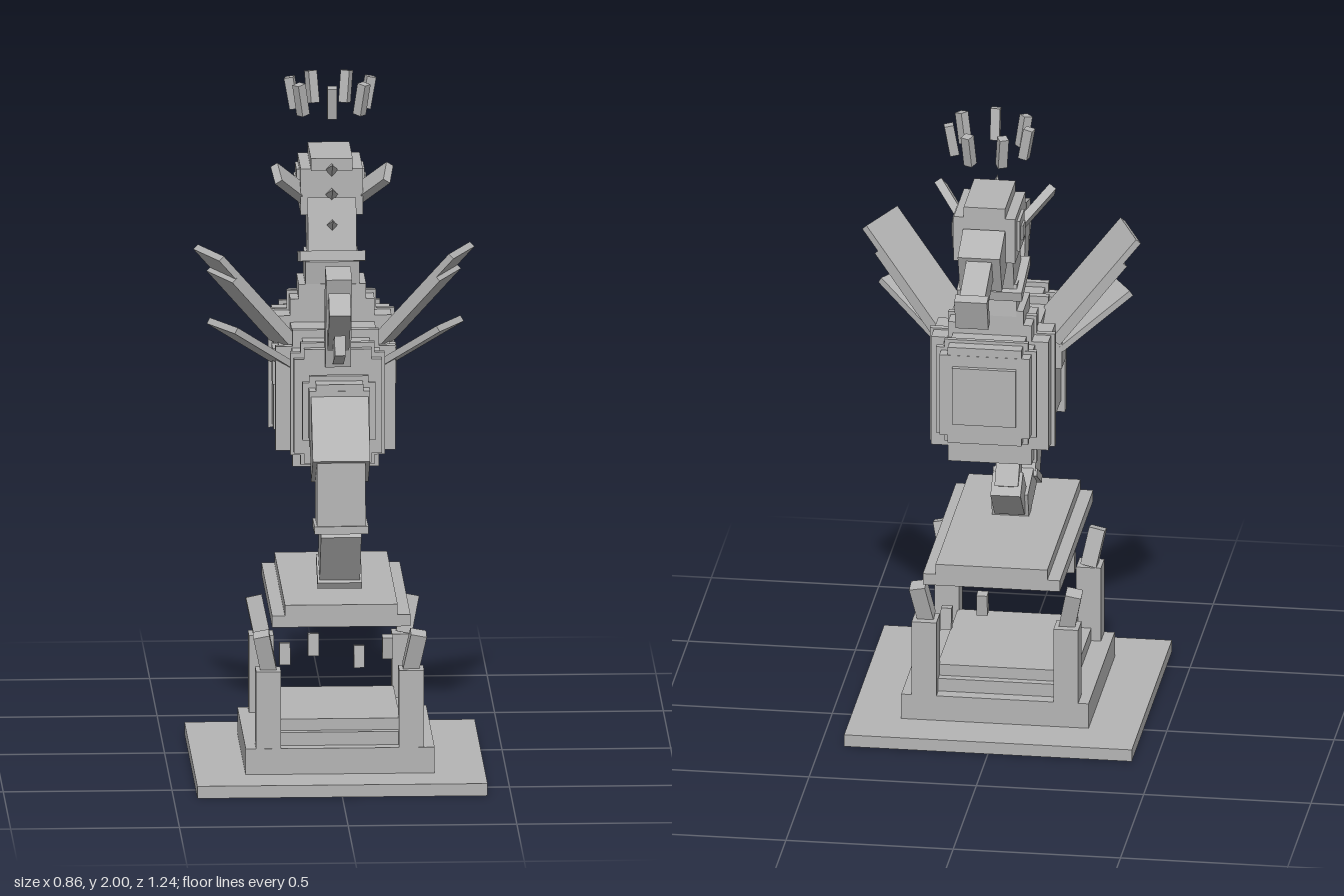
import * as THREE from 'three';

export function createModel() {
  const model = new THREE.Group();
  const stone = new THREE.MeshStandardMaterial({ color: 0xb4b4b4 });
  stone.name = 'grey stone';

  const add = (name, geometry) => {
    const mesh = new THREE.Mesh(geometry, stone);
    mesh.name = name;
    model.add(mesh);
    return mesh;
  };
  // Box given by its half width in x and its y and z limits
  const block = (name, hx, y0, y1, z0, z1, x = 0) => {
    const m = add(name, new THREE.BoxGeometry(hx * 2, y1 - y0, z1 - z0));
    m.position.set(x, (y0 + y1) / 2, (z0 + z1) / 2);
    return m;
  };
  // Box running between two [z, y] points in the middle plane
  const beam = (name, [z0, y0], [z1, y1], hx, thick) => {
    const m = add(name, new THREE.BoxGeometry(hx * 2, thick, Math.hypot(z1 - z0, y1 - y0)));
    m.position.set(0, (y0 + y1) / 2, (z0 + z1) / 2);
    m.rotation.x = -Math.atan2(y1 - y0, z1 - z0);
    return m;
  };
  // Flat plate from a root corner, along a span and an edge vector
  const plate = (name, root, span, edge, thick, lift = 0) => {
    const s = new THREE.Vector3(...span), e = new THREE.Vector3(...edge);
    const n = new THREE.Vector3().crossVectors(e, s).normalize();
    const m = add(name, new THREE.BoxGeometry(s.length(), thick, e.length()));
    m.position.set(...root).addScaledVector(s, 0.5).addScaledVector(e, 0.5).addScaledVector(n, lift);
    const u = s.clone().normalize();
    m.quaternion.setFromRotationMatrix(
      new THREE.Matrix4().makeBasis(u, n, new THREE.Vector3().crossVectors(u, n)));
    return m;
  };

  // Pedestal
  block('baseSlab', 0.43, 0, 0.037, -0.25, 0.615);
  block('baseStep', 0.28, 0.037, 0.115, -0.1, 0.465);
  block('baseRiser', 0.22, 0.115, 0.155, -0.06, 0.425);
  block('basePanel', 0.18, 0.155, 0.19, -0.035, 0.4);
  for (const sx of [-1, 1]) for (const sz of [-1, 1]) {
    const z = 0.182 + sz * 0.245;
    block('cornerPost', 0.037, 0.115, 0.348, z - 0.037, z + 0.037, sx * 0.212);
    const tip = block('brokenPostTip', 0.024, 0.345, 0.46, z - 0.024, z + 0.024, sx * 0.222);
    tip.rotation.set(sz * 0.22, 0, -sx * 0.2);
  }
  const chips = [[-0.16, 0.38, 0.36], [-0.07, 0.38, 0.24], [0.07, 0.32, 0.14], [0.16, 0.32, 0.015]];
  chips.forEach(([x, y, z], i) => {
    const chip = block('floatingChip', 0.016, y - 0.033, y + 0.033, z - 0.016, z + 0.016, x);
    chip.rotation.x = i < 2 ? -0.12 : 0.12 * (i === 2 ? -1 : 1);
  });
  block('platformLower', 0.205, 0.5, 0.535, -0.175, 0.54);
  block('platformUpper', 0.167, 0.535, 0.567, -0.175, 0.54);

  // Curled tail with joint rings
  const tail = [
    [[0.37, 1.13], [0.49, 0.96], 0.085, 0.155],
    [[0.475, 1.01], [0.485, 0.79], 0.072, 0.135],
    [[0.485, 0.8], [0.38, 0.635], 0.06, 0.115],
    [[0.39, 0.645], [0.225, 0.6], 0.055, 0.09],
    [[0.245, 0.605], [0.155, 0.7], 0.045, 0.08],
    [[0.17, 0.68], [0.235, 0.785], 0.035, 0.062],
  ];
  tail.forEach(([a, b, hx, t]) => beam('tailSegment', a, b, hx, t));
  beam('tailRing', [0.484, 0.805], [0.485, 0.782], 0.08, 0.15);
  beam('tailRing', [0.395, 0.645], [0.383, 0.625], 0.066, 0.125);

  // Body: each section is a wide box crossed with a taller, narrower one
  const section = (name, hx, y0, y1, z0, z1, step = 0.04) => {
    block(name, hx, y0 + step, y1 - step, z0, z1);
    block(name + 'Core', hx - step, y0, y1, z0 + 0.001, z1 - 0.001);
  };
  section('tailRoot', 0.09, 1.02, 1.21, 0.29, 0.43, 0.02);
  section('tailRootRing', 0.108, 1.01, 1.225, 0.36, 0.38, 0.02);
  section('rearBody', 0.13, 0.945, 1.29, 0.14, 0.31, 0.03);
  section('rearRing', 0.14, 0.935, 1.305, 0.262, 0.285, 0.03);
  section('midBody', 0.165, 0.945, 1.29, -0.07, 0.155);
  section('midRing', 0.178, 0.9, 1.315, 0.13, 0.155, 0.05);
  block('belly', 0.1, 0.915, 0.96, -0.06, 0.13);
  section('shoulders', 0.175, 0.915, 1.36, -0.21, -0.06, 0.05);
  section('shoulderRing', 0.187, 0.9, 1.37, -0.155, -0.135, 0.055);
  section('chest', 0.135, 1.02, 1.325, -0.325, -0.2, 0.025);
  section('chestRing', 0.15, 1.01, 1.335, -0.287, -0.27, 0.025);
  block('breastPlate', 0.095, 1.085, 1.265, -0.34, -0.32);

  // Neck
  block('neckBase', 0.1, 1.35, 1.405, -0.21, -0.06);
  beam('lowerNeck', [-0.14, 1.38], [-0.13, 1.48], 0.08, 0.145);
  beam('neckRing', [-0.123, 1.46], [-0.13, 1.49], 0.097, 0.19);
  beam('upperNeck', [-0.128, 1.48], [-0.17, 1.64], 0.072, 0.15);

  // Head and snout
  block('head', 0.092, 1.605, 1.745, -0.325, -0.105);
  block('headTop', 0.062, 1.74, 1.777, -0.325, -0.1);
  beam('snoutRoot', [-0.31, 1.65], [-0.425, 1.605], 0.063, 0.13);
  beam('snout', [-0.4, 1.63], [-0.582, 1.56], 0.038, 0.075);
  beam('snoutTip', [-0.577, 1.558], [-0.61, 1.548], 0.049, 0.1);
  for (const s of [-1, 1]) {
    block('eyeFrame', 0.005, 1.63, 1.725, -0.29, -0.19, s * 0.096);
    block('eye', 0.004, 1.655, 1.7, -0.263, -0.217, s * 0.103);
    plate('earFin', [s * 0.075, 1.635, -0.13], [s * 0.085, 0.085, 0.09],
      [s * 0.012, 0.042, -0.05], 0.025);
  }

  // Spikes down the back of the head and neck
  for (const [y, z] of [[1.755, -0.1], [1.68, -0.1], [1.59, -0.08]]) {
    const spike = add('backSpike', new THREE.ConeGeometry(0.02, 0.075, 4).toNonIndexed());
    spike.geometry.computeVertexNormals();
    spike.position.set(0, y, z + 0.025);
    spike.rotation.x = Math.PI / 2 - 0.4;
  }

  // Fan of fins on the back
  beam('backFin', [0.19, 1.25], [0.2, 1.5], 0.027, 0.085);
  beam('backFin', [0.28, 1.25], [0.35, 1.53], 0.038, 0.09);
  beam('backFin', [0.25, 1.26], [0.44, 1.455], 0.032, 0.08);
  beam('backFin', [0.26, 1.255], [0.46, 1.335], 0.016, 0.06);

  // Wings: a long layered fin above a short one, mirrored
  for (const s of [-1, 1]) {
    block('wingHub', 0.012, 1.135, 1.245, 0.015, 0.09, s * 0.172);
    plate('upperWing', [s * 0.17, 1.255, -0.06], [s * 0.24, 0.29, 0.1],
      [s * -0.07, 0, 0.165], 0.02);
    plate('upperWingLayer', [s * 0.17, 1.255, -0.06], [s * 0.19, 0.23, 0.08],
      [s * -0.07, 0, 0.165], 0.02, s * -0.015);
    plate('lowerWing', [s * 0.18, 1.195, 0.015], [s * 0.195, 0.145, 0.115],
      [s * -0.075, 0, 0.135], 0.02);
  }

  // Floating crown of seven leaning bars
  for (let i = 0; i < 7; i++) {
    const a = (i / 7) * Math.PI * 2;
    const bar = block('crownBar', 0.014, 1.902, 1.998, -0.014, 0.014);
    bar.position.x = Math.sin(a) * 0.115;
    bar.position.z = -0.2 + Math.cos(a) * 0.115;
    bar.rotation.set(0.18, a, 0, 'YXZ');
  }
  return model;
}
